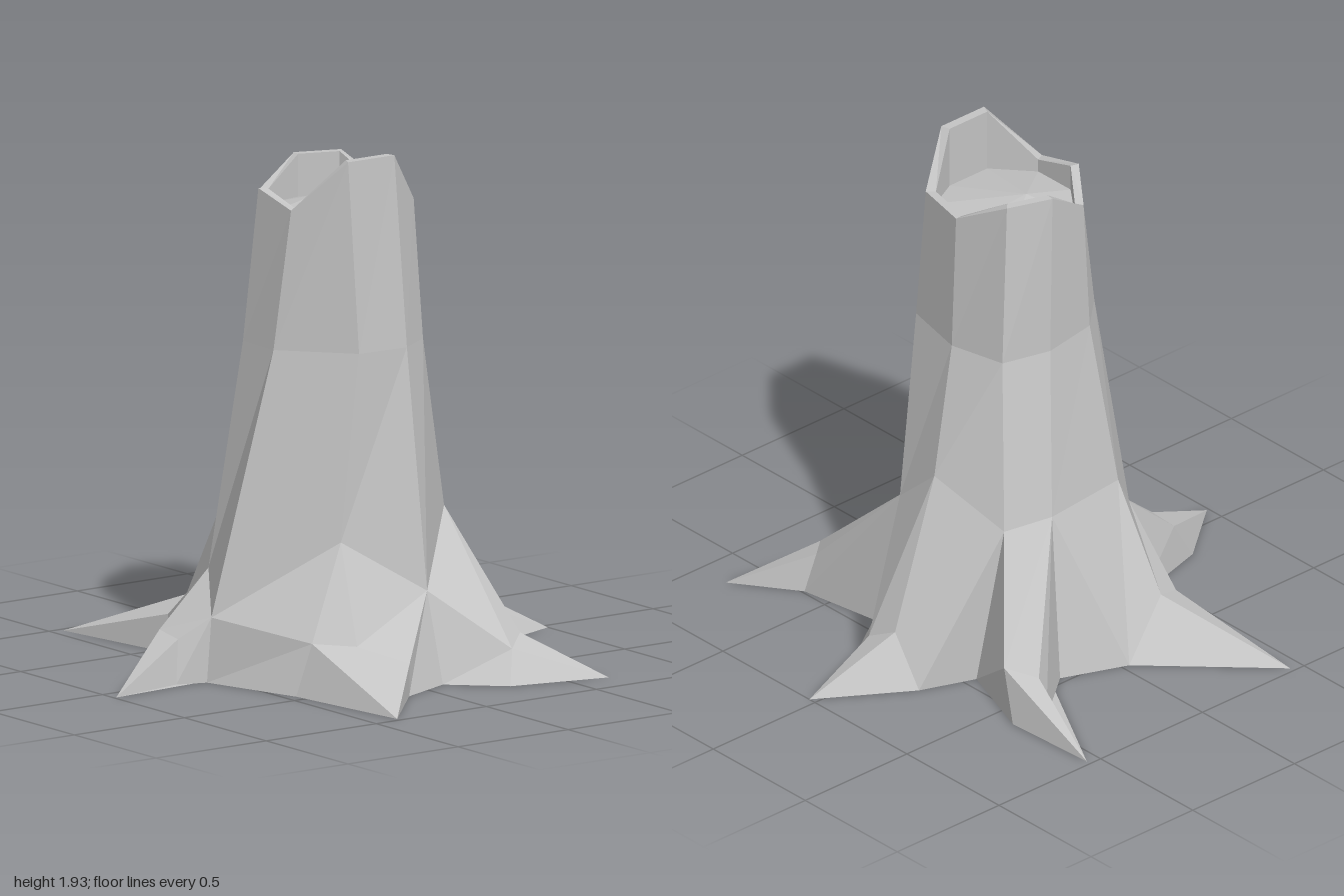
import * as THREE from 'three';

// Nine ridges run around the trunk, from the front towards +x. Points are [x, y, z].
const rim = [
  [0.17, 1.74, 0.27], [0.33, 1.93, 0.13], [0.33, 1.93, -0.08],
  [0.26, 1.74, -0.22], [0.04, 1.74, -0.27], [-0.17, 1.85, -0.21],
  [-0.23, 1.85, -0.04], [-0.20, 1.74, 0.14], [-0.03, 1.79, 0.27],
];
const waist = [
  [0.13, 1.22, 0.32], [0.37, 1.22, 0.11], [0.38, 1.22, -0.10],
  [0.29, 1.22, -0.24], [0.03, 1.22, -0.30], [-0.19, 1.22, -0.25],
  [-0.24, 1.22, -0.06], [-0.20, 1.22, 0.17], [-0.07, 1.22, 0.31],
];
const knee = [
  [0.06, 0.24, 0.55], [0.38, 0.53, 0.20], [0.49, 0.33, -0.11],
  [0.19, 0.56, -0.41], [-0.03, 0.75, -0.44], [-0.31, 0.60, -0.35],
  [-0.36, 0.61, -0.16], [-0.31, 0.60, 0.21], [-0.16, 0.37, 0.40],
];

// Ground points in the valleys between neighbouring roots
const valley = {
  0: [0.06, 0, 0.57], 2: [0.60, 0, -0.10], 3: [0.30, 0, -0.44],
  5: [-0.27, 0, -0.45], 6: [-0.47, 0, -0.22], 8: [-0.22, 0, 0.42],
};

// Each root joins some trunk ridges, bends at its shoulders and ends in a tip.
// sides: the two ground points beside the outer shoulders.
const roots = [
  { name: 'frontRoot', ridges: [8, 0], tip: [0.07, 0, 0.99],
    shoulders: [[-0.15, 0.17, 0.63], [-0.01, 0.16, 0.65]],
    sides: [[-0.13, 0, 0.74], [0.02, 0, 0.68]] },
  { name: 'frontLeftRoot', ridges: [0, 1, 2], tip: [0.98, 0, 0.39],
    shoulders: [[0.46, 0.19, 0.39], [0.56, 0.18, 0.26], [0.68, 0.12, 0.11]],
    sides: [[0.45, 0, 0.455], [0.69, 0, 0.12]] },
  { name: 'backLeftRoot', ridges: [2, 3], tip: [0.86, 0, -0.66],
    shoulders: [[0.70, 0.12, -0.34], [0.60, 0.15, -0.45]],
    sides: [[0.77, 0, -0.28], [0.62, 0, -0.49]] },
  { name: 'backRoot', ridges: [3, 4, 5], tip: [0.03, 0, -1],
    shoulders: [[0.06, 0.13, -0.68], [-0.06, 0.19, -0.66], [-0.19, 0, -0.66]],
    sides: [[0.15, 0, -0.67], [-0.19, 0, -0.66]] },
  { name: 'backRightRoot', ridges: [5, 6], tip: [-0.98, 0, -0.55],
    shoulders: [[-0.52, 0.19, -0.54], [-0.62, 0.16, -0.46]],
    sides: [[-0.60, 0, -0.57], [-0.65, 0, -0.45]] },
  { name: 'frontRightRoot', ridges: [6, 7, 8], tip: [-0.98, 0, 0.45],
    shoulders: [[-0.57, 0, 0.03], [-0.51, 0.19, 0.24], [-0.46, 0.14, 0.36]],
    sides: [[-0.57, 0, 0.03], [-0.45, 0, 0.375]] },
];

// Collects flat triangles, leaving out collapsed ones
class Facets {
  constructor() { this.points = []; }
  tri(a, b, c) {
    const same = (p, q) => p.every((v, i) => v === q[i]);
    if (same(a, b) || same(b, c) || same(a, c)) return;
    this.points.push(...a, ...b, ...c);
  }
  quad(a, b, c, d) { this.tri(a, b, c); this.tri(a, c, d); }
  // Band between two closed loops, seen from outside
  band(lower, upper) {
    lower.forEach((p, i) => {
      const j = (i + 1) % lower.length;
      this.quad(p, lower[j], upper[j], upper[i]);
    });
  }
  mesh(name, material) {
    const geometry = new THREE.BufferGeometry();
    geometry.setAttribute('position', new THREE.Float32BufferAttribute(this.points, 3));
    geometry.computeVertexNormals();
    const mesh = new THREE.Mesh(geometry, material);
    mesh.name = name;
    return mesh;
  }
}

export function createModel() {
  const group = new THREE.Group();
  group.name = 'treeStump';
  const wood = new THREE.MeshStandardMaterial({ color: 0xc4c4c4 });
  wood.name = 'grey wood';

  // Trunk sides
  const trunk = new Facets();
  trunk.band(knee, waist);
  trunk.band(waist, rim);
  group.add(trunk.mesh('trunk', wood));

  // Thin jagged rim, its inner wall and the slightly raised cut surface
  const inset = ([x, y, z], height = y) => [0.04 + (x - 0.04) * 0.88, height, z * 0.88];
  const innerRim = rim.map((p) => inset(p));
  const floor = rim.map((p) => inset(p, 1.69));
  const bark = new Facets();
  bark.band(rim, innerRim);
  bark.band(innerRim, floor);
  group.add(bark.mesh('brokenRim', wood));
  const cut = new Facets();
  floor.forEach((p, i) => cut.tri([0, 1.74, 0.04], p, floor[(i + 1) % floor.length]));
  group.add(cut.mesh('cutSurface', wood));

  // Roots, gathering the ground outline on the way
  const outline = [];
  for (const { name, ridges, tip, shoulders, sides } of roots) {
    const root = new Facets();
    const last = ridges.length - 1;
    const k = ridges.map((i) => knee[i]);
    const start = valley[ridges[0]];
    const end = valley[ridges[last]];
    for (let i = 0; i < last; i++) {
      root.quad(shoulders[i], shoulders[i + 1], k[i + 1], k[i]);
      root.tri(tip, shoulders[i + 1], shoulders[i]);
    }
    root.quad(start, sides[0], shoulders[0], k[0]);
    root.tri(sides[0], tip, shoulders[0]);
    root.quad(sides[1], end, k[last], shoulders[last]);
    root.tri(tip, sides[1], shoulders[last]);
    group.add(root.mesh(name, wood));
    outline.push(start, sides[0], tip, sides[1]);
  }

  // Flat underside
  const base = new Facets();
  outline.forEach((p, i) => base.tri([0, 0, 0], outline[(i + 1) % outline.length], p));
  group.add(base.mesh('underside', wood));

  return group;
}
